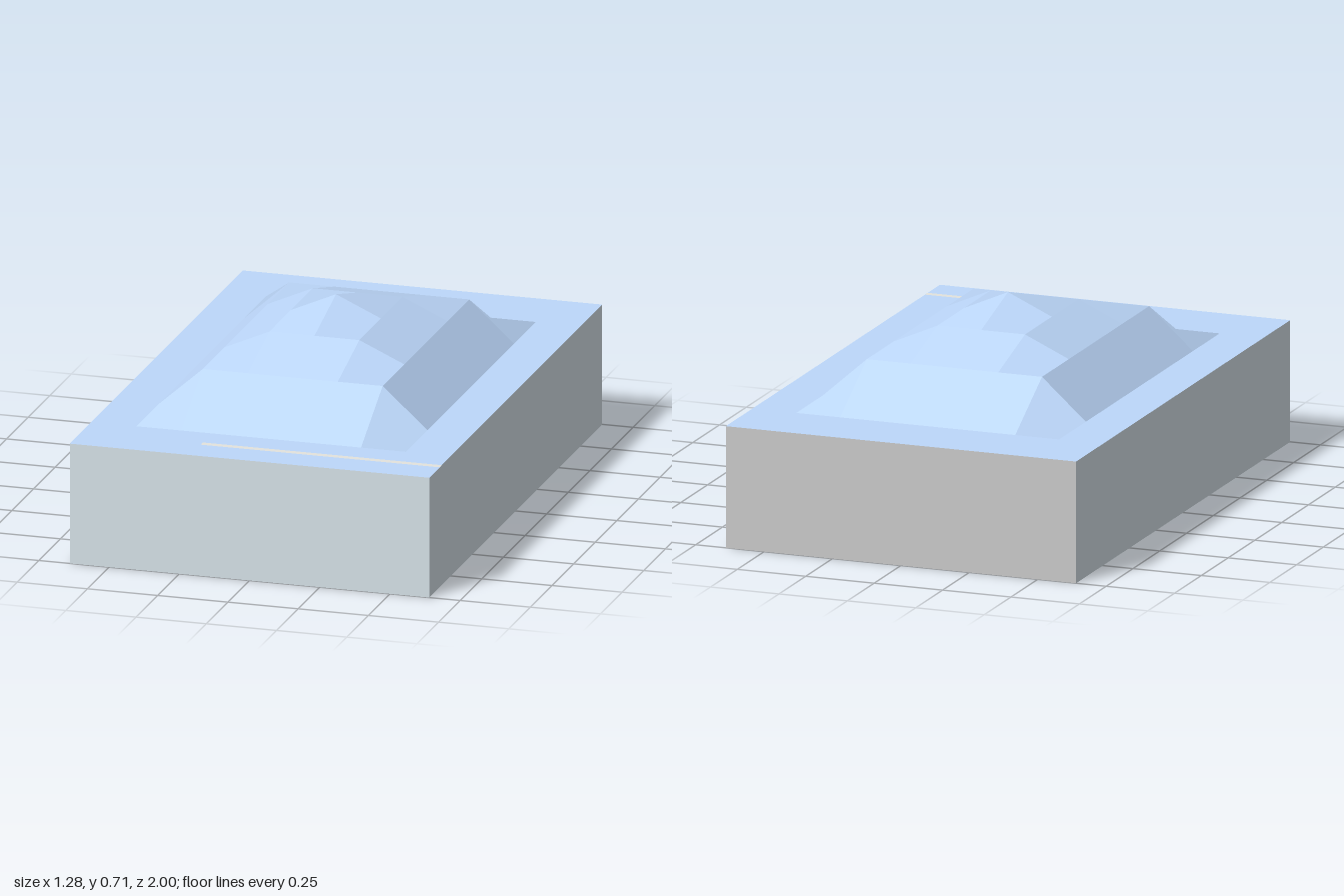
import * as THREE from 'three';

const W = 1.28, D = 2, TOP = 0.4286, N = 8;
const RING_HEIGHTS = [0.7143, 0.6429, 0.5714, TOP, TOP]; // centre to rim

const material = (color) => new THREE.MeshStandardMaterial({ color, side: THREE.DoubleSide });

// Stepped mound on a square-ring grid, one flat normal per cell
function terrainGeometry() {
  const point = (i, j) => {
    const ring = Math.max(Math.abs(i - N / 2), Math.abs(j - N / 2));
    return new THREE.Vector3((i / N - 0.5) * W, RING_HEIGHTS[ring], (j / N - 0.5) * D);
  };
  const positions = [], normals = [], index = [];
  for (let i = 0; i < N; i++) {
    for (let j = 0; j < N; j++) {
      const base = positions.length / 3;
      const [a, b, c, d] = [point(i, j), point(i, j + 1), point(i + 1, j + 1), point(i + 1, j)];
      const normal = c.clone().sub(a).cross(d.clone().sub(b)).normalize();
      for (const p of [a, b, c, d]) {
        positions.push(p.x, p.y, p.z);
        normals.push(normal.x, normal.y, normal.z);
      }
      index.push(base, base + 1, base + 2, base, base + 2, base + 3);
    }
  }
  const geometry = new THREE.BufferGeometry();
  geometry.setAttribute('position', new THREE.Float32BufferAttribute(positions, 3));
  geometry.setAttribute('normal', new THREE.Float32BufferAttribute(normals, 3));
  geometry.setIndex(index);
  return geometry;
}

export function createModel() {
  const model = new THREE.Group();
  const blue = material(0xbdd8fb), paleBlue = material(0xd8e4eb);
  const grey = material(0xcccccc), pale = material(0xe4e4de);

  const add = (name, geometry, mat, x, y, z, rx = 0, ry = 0) => {
    const mesh = new THREE.Mesh(geometry, mat);
    mesh.name = name;
    mesh.position.set(x, y, z);
    mesh.rotation.set(rx, ry, 0);
    model.add(mesh);
  };

  // Raised top surface
  add('moundTop', terrainGeometry(), blue, 0, 0, 0);

  // Walls of the base block
  const end = new THREE.PlaneGeometry(W, TOP), flank = new THREE.PlaneGeometry(D, TOP);
  add('frontWall', end, paleBlue, 0, TOP / 2, D / 2);
  add('backWall', end, grey, 0, TOP / 2, -D / 2, 0, Math.PI);
  add('leftWall', flank, paleBlue, W / 2, TOP / 2, 0, 0, Math.PI / 2);
  add('rightWall', flank, paleBlue, -W / 2, TOP / 2, 0, 0, -Math.PI / 2);
  add('bottom', new THREE.PlaneGeometry(W, D), grey, 0, 0.001, 0, Math.PI / 2);

  // Thin pale stripes near the front edge, above and below
  const stripe = new THREE.PlaneGeometry(0.85, 0.025);
  add('topStripe', stripe, pale, 0.215, TOP + 0.001, 0.87, -Math.PI / 2);
  add('bottomStripe', stripe, pale, 0.215, 0, 0.87, Math.PI / 2);

  return model;
}
